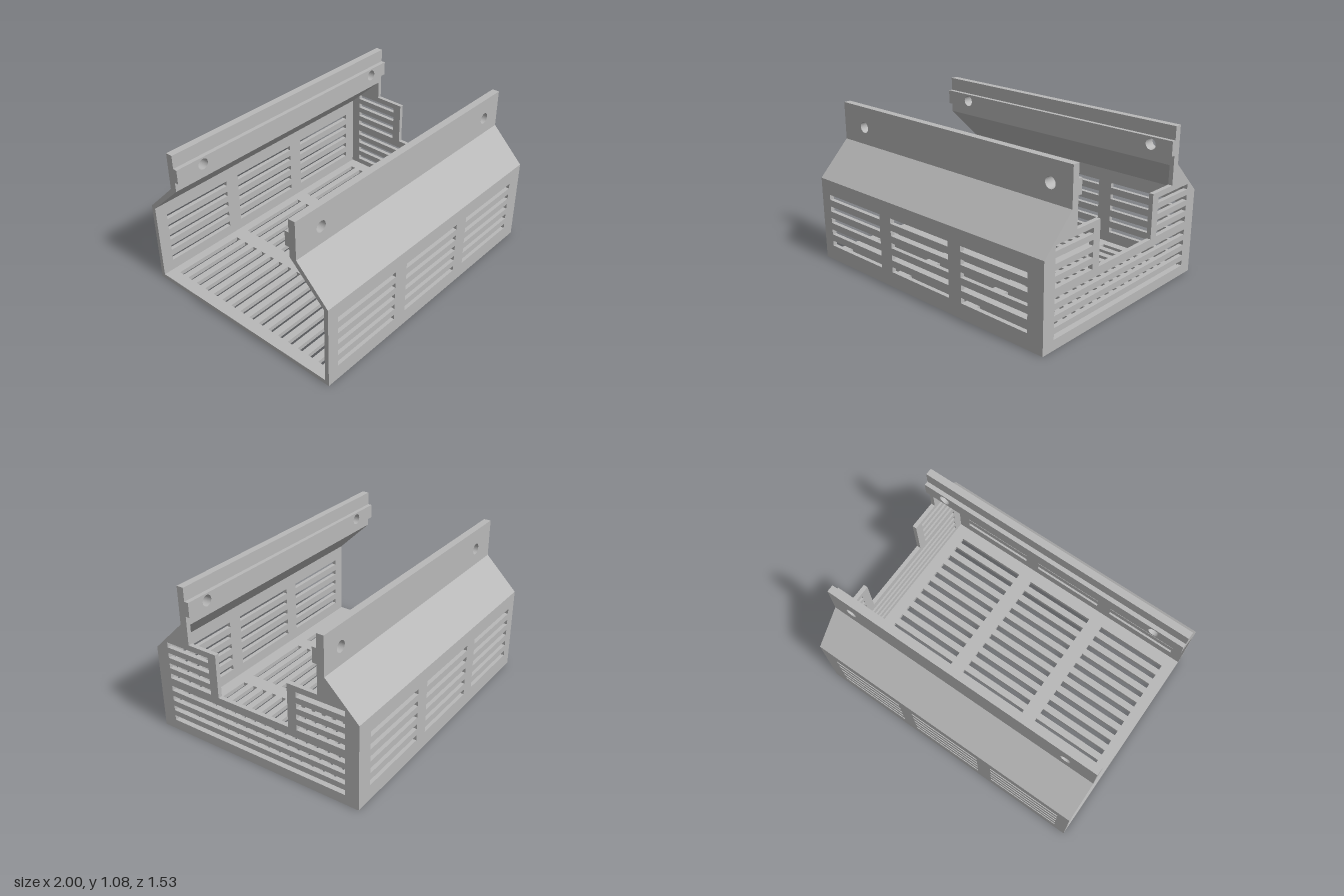
import * as THREE from 'three';

const T = 0.03;          // sheet thickness
const END = 1 - T;       // inner face of the end panel
const DEPTH = 0.767;     // half depth of the tray
const COLUMNS = [[-0.917, -0.39], [-0.283, 0.247], [0.353, 0.883]];

// Polygon outline from [x, y] pairs
const outline = (points) => new THREE.Shape(points.map(([x, y]) => new THREE.Vector2(x, y)));
const rect = (x0, x1, y0, y1) => outline([[x0, y0], [x1, y0], [x1, y1], [x0, y1]]);
const extrude = (shape, depth) =>
  new THREE.ExtrudeGeometry(shape, { depth, bevelEnabled: false, curveSegments: 20 });

// Outline given as [z, y], extruded along x from x0 to x1
function alongX(shape, x0, x1) {
  return extrude(shape, x1 - x0).rotateY(Math.PI / 2).translate(x0, 0, 0);
}

// Evenly pitched rows of slots, cut in each column
function cutSlots(shape, columns, first, pitch, count, height) {
  for (let i = 0; i < count; i++) {
    const c = first + i * pitch;
    for (const [a, b] of columns) shape.holes.push(rect(a, b, c - height / 2, c + height / 2));
  }
}

// Long plate with two screw holes
function drilledPlate(y0, y1, depth) {
  const shape = rect(-1, 1, y0, y1);
  for (const x of [-0.793, 0.84]) {
    shape.holes.push(new THREE.Path().absarc(x, 0.938, 0.038, 0, Math.PI * 2, true));
  }
  return extrude(shape, depth);
}

export function createModel() {
  const model = new THREE.Group();
  const grey = new THREE.MeshStandardMaterial({ color: 0xb8b8b8 });
  grey.name = 'matte grey';

  const add = (parent, name, geometry) => {
    const mesh = new THREE.Mesh(geometry, grey);
    mesh.name = name;
    parent.add(mesh);
  };

  // Slotted floor
  const floor = rect(-1, END, -DEPTH, DEPTH);
  cutSlots(floor, COLUMNS, -0.657, 0.0855, 16, 0.037);
  add(model, 'floor', extrude(floor, T).rotateX(Math.PI / 2).translate(0, T, 0));

  // Long sides: slotted wall, sloping shoulder, mounting flange and raised strip
  for (const [name, s] of [['frontSide', 1], ['backSide', -1]]) {
    const side = new THREE.Group();
    side.name = name;
    model.add(side);
    // Place a plate of given thickness between z = inner and z = outer
    const place = (geometry, inner, outer) => geometry.translate(0, 0, Math.min(s * inner, s * outer));

    const wall = rect(-1, END, T, 0.578);
    cutSlots(wall, COLUMNS, 0.125, 0.0855, 5, 0.037);
    add(side, 'wall', place(extrude(wall, T), DEPTH - T, DEPTH));

    const shoulder = outline([
      [DEPTH, 0.578], [DEPTH, 0.59], [0.535, 0.82], [0.485, 0.82], [DEPTH - T, 0.578],
    ].map(([z, y]) => [-s * z, y]));
    add(side, 'shoulder', alongX(shoulder, -1, END));

    add(side, 'flange', place(drilledPlate(0.82, 1.08, 0.05), 0.485, 0.535));
    add(side, 'strip', place(drilledPlate(0.888, 0.988, 0.03), 0.455, 0.485));
  }

  // Notched end panel at the left end, following the tray's section
  const half = [[DEPTH, 0], [DEPTH, 0.59], [0.535, 0.82], [0.485, 0.82], [0.485, 0.69], [0.27, 0.69], [0.27, 0.387]];
  const panel = outline([...half, ...half.map(([z, y]) => [-z, y]).reverse()]);
  cutSlots(panel, [[-0.672, 0.672]], 0.087, 0.0755, 4, 0.036);
  cutSlots(panel, [[-0.672, -0.332], [0.332, 0.672]], 0.407, 0.0755, 4, 0.036);
  add(model, 'endPanel', alongX(panel, END, 1));

  return model;
}
